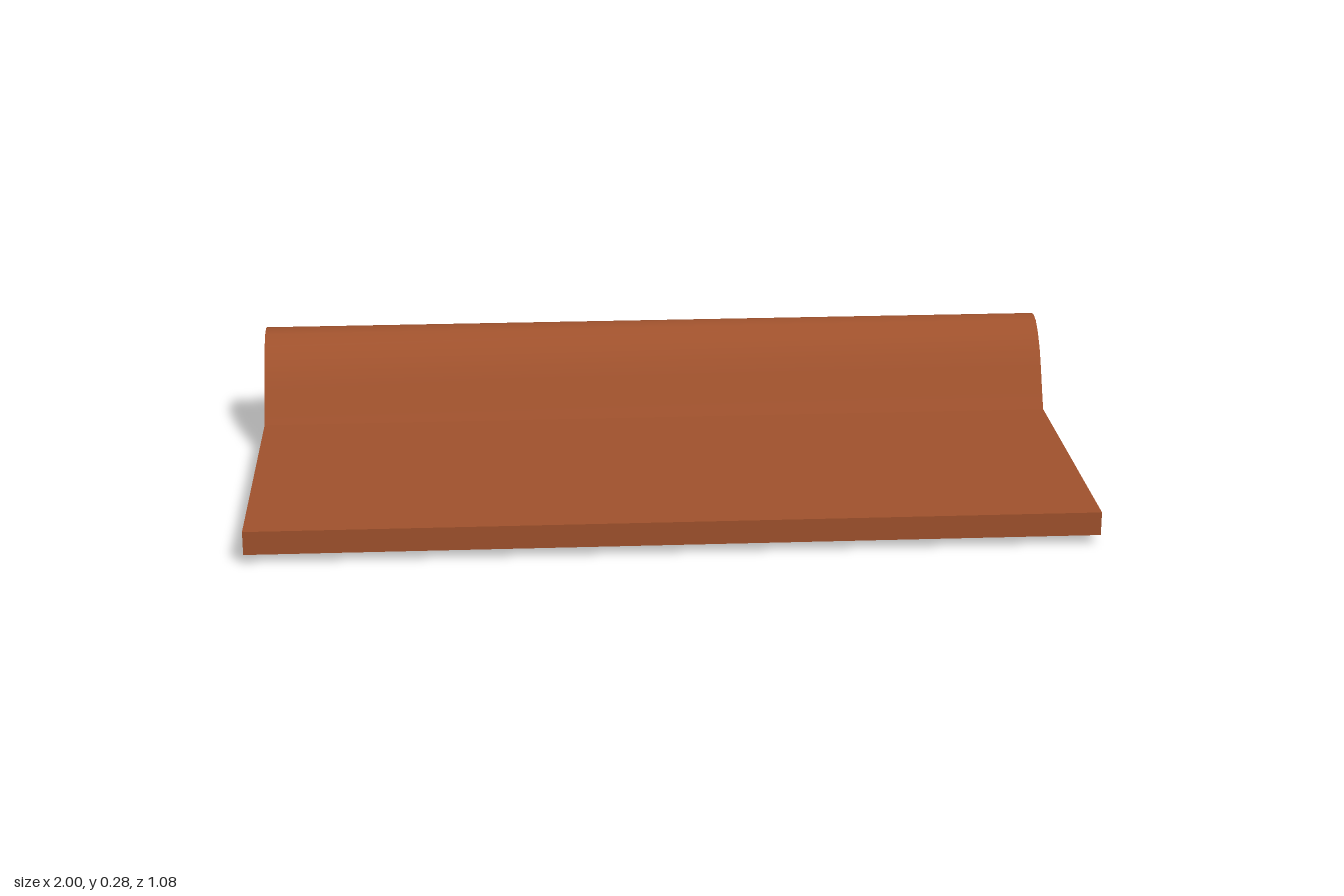
import * as THREE from 'three';
import { toCreasedNormals } from 'three/addons/utils/BufferGeometryUtils.js';

export function createModel() {
  const clay = new THREE.MeshStandardMaterial({ color: 0xa0522d });
  clay.name = 'clay';

  const length = 2, thickness = 0.057;

  // Upper edge of the cross-section as [z, y]: flat pan, then the arched roll
  const upper = [
    [0.538, 0.079], [-0.188, 0.079], [-0.212, 0.118], [-0.242, 0.174],
    [-0.27, 0.218], [-0.304, 0.252], [-0.337, 0.273], [-0.372, 0.279],
    [-0.403, 0.272], [-0.432, 0.255], [-0.458, 0.229], [-0.484, 0.192],
    [-0.513, 0.14], [-0.538, 0.057],
  ].map(([z, y]) => new THREE.Vector2(-z, y));

  // The lower edge is the upper one dropped straight down
  const lower = upper.map((p) => new THREE.Vector2(p.x, p.y - thickness)).reverse();

  // Sweep the section along x
  const geometry = new THREE.ExtrudeGeometry(new THREE.Shape([...upper, ...lower]), {
    depth: length, bevelEnabled: false,
  });
  geometry.translate(0, 0, -length / 2);
  geometry.rotateY(Math.PI / 2);

  const tile = new THREE.Mesh(toCreasedNormals(geometry, 0.6), clay);
  tile.name = 'roofTile';

  const group = new THREE.Group();
  group.name = 'rolledRoofTile';
  group.add(tile);
  return group;
}
